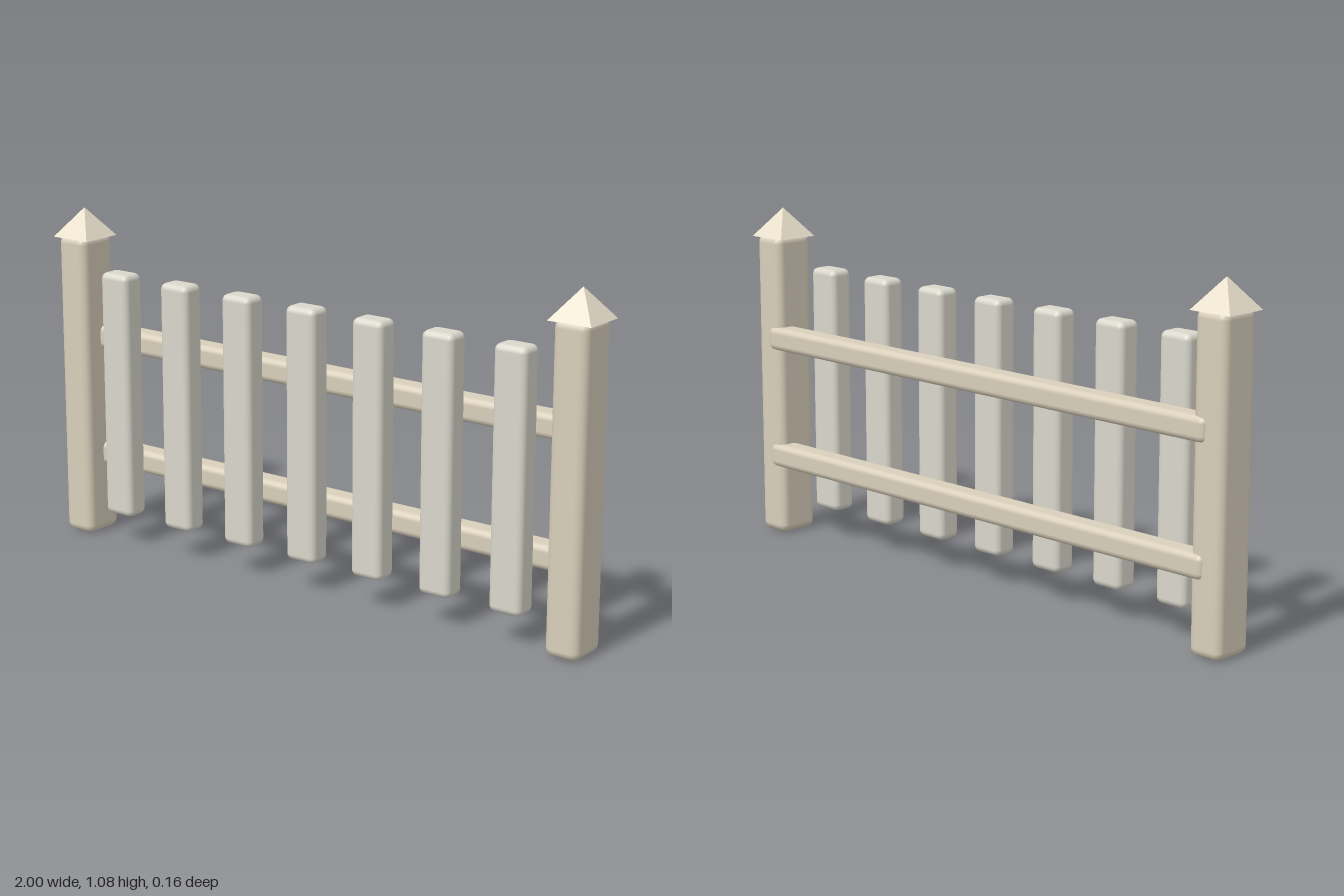
import * as THREE from 'three';
import { RoundedBoxGeometry } from 'three/addons/geometries/RoundedBoxGeometry.js';

const PICKETS = 7;
const PICKET_STEP = 0.2475;
const POST_X = 0.929;

export function createModel() {
  const fence = new THREE.Group();
  fence.name = 'picketFence';

  const timber = new THREE.MeshStandardMaterial({ color: 0xd9cfbb });
  const paleBoard = new THREE.MeshStandardMaterial({ color: 0xdad8cc });
  const capWood = new THREE.MeshStandardMaterial({ color: 0xe8dfcb, flatShading: true });

  const add = (name, geometry, material, x, y, z) => {
    const mesh = new THREE.Mesh(geometry, material);
    mesh.name = name;
    mesh.position.set(x, y, z);
    fence.add(mesh);
  };

  // End posts with pyramid caps
  const postGeometry = new RoundedBoxGeometry(0.112, 0.994, 0.14, 2, 0.026);
  const capGeometry = new THREE.ConeGeometry(0.1005, 0.093, 4).rotateY(Math.PI / 4);
  for (const [side, sign] of [['left', 1], ['right', -1]]) {
    add(`${side}Post`, postGeometry, timber, sign * POST_X, 0.497, 0);
    add(`${side}PostCap`, capGeometry, capWood, sign * POST_X, 1.0315, 0);
  }

  // Two horizontal rails behind the pickets
  const railGeometry = new RoundedBoxGeometry(1.85, 0.076, 0.08, 2, 0.02);
  add('lowerRail', railGeometry, timber, 0, 0.265, -0.04);
  add('upperRail', railGeometry, timber, 0, 0.657, -0.04);

  // Evenly spaced upright pickets
  const picketGeometry = new RoundedBoxGeometry(0.11, 0.8, 0.08, 2, 0.02);
  for (let i = 0; i < PICKETS; i++) {
    const x = (i - (PICKETS - 1) / 2) * PICKET_STEP;
    add(`picket${i + 1}`, picketGeometry, paleBoard, x, 0.497, 0.04);
  }

  return fence;
}
